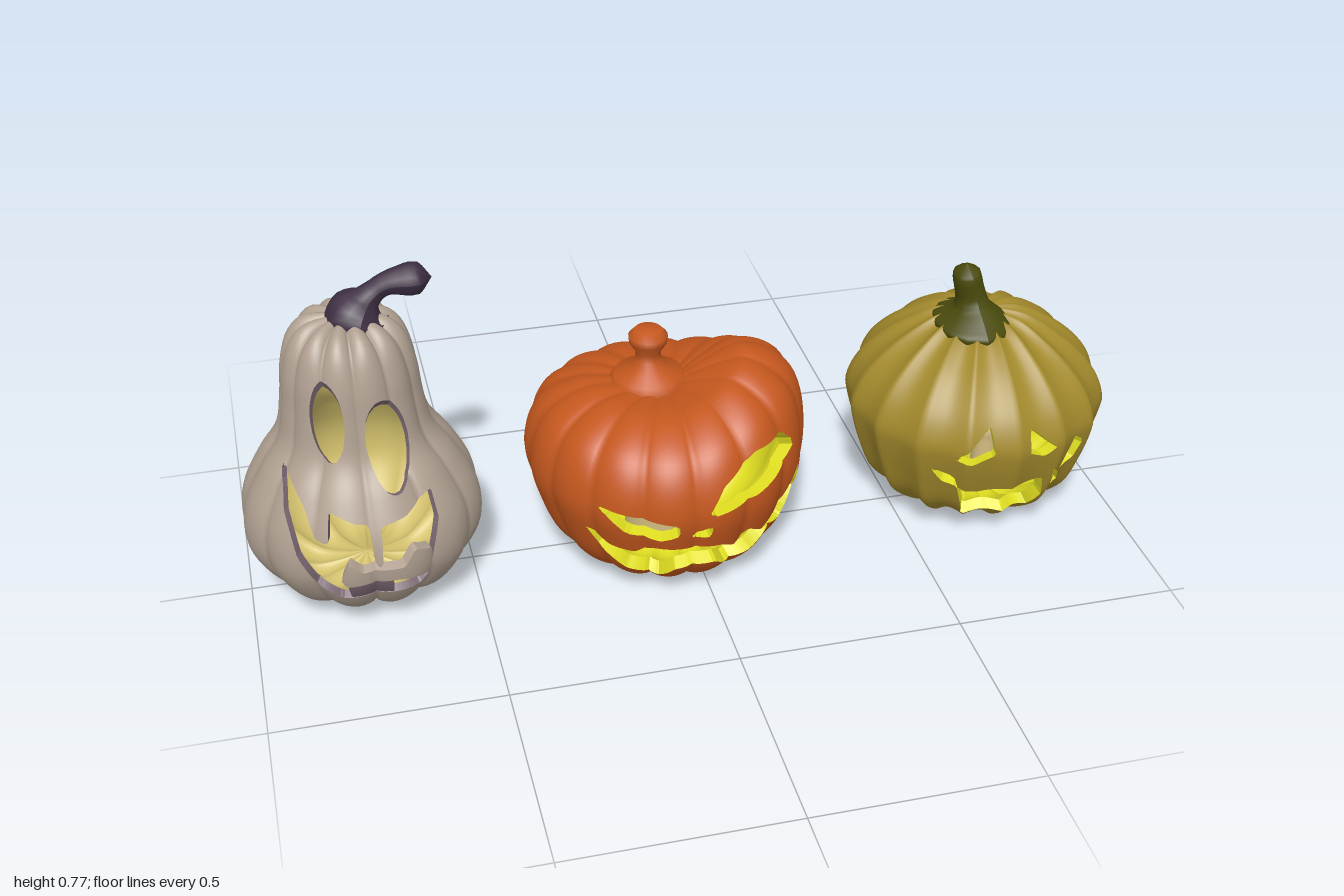
import * as THREE from 'three';
import { mergeVertices } from 'three/addons/utils/BufferGeometryUtils.js';

const mat = (name, color) => new THREE.MeshStandardMaterial({ name, color });
const FRONT = 96, BACK = 48, ROWS = 64, COLS = FRONT + BACK;
const V2 = (a, s = 1) => Array.from({ length: a.length / 2 }, (_, i) => new THREE.Vector2(a[2 * i] * s, a[2 * i + 1] * s));

// cut-out outlines, in hundredths
const outline = (...a) => V2(a, 0.01);
const oval = (x, y, rx, ry, tilt = 0) => new THREE.EllipseCurve(x, y, rx, ry, 0, Math.PI * 2, false, tilt).getPoints(18).slice(0, -1);

// signed distance to an outline, positive outside
function distance(poly, x, y) {
  let best = Infinity, inside = false;
  poly.forEach((a, i) => {
    const b = poly[(i + 1) % poly.length], ex = b.x - a.x, ey = b.y - a.y;
    const t = THREE.MathUtils.clamp(((x - a.x) * ex + (y - a.y) * ey) / (ex * ex + ey * ey), 0, 1);
    best = Math.min(best, Math.hypot(x - a.x - ex * t, y - a.y - ey * t));
    if ((a.y > y) !== (b.y > y) && x < a.x + ((y - a.y) / ey) * ex) inside = !inside;
  });
  return inside ? -best : best;
}

// ribbed gourd surface as a grid of points, finer on the carved front
function surface({ profile, lobes, depth, mid, ridged = false, squash = 1, brow = 0, backDrop = 0 }) {
  const rows = new THREE.SplineCurve(V2(profile)).getSpacedPoints(ROWS);
  const grid = [];
  for (const p of rows) {
    for (let i = 0; i <= COLS; i++) {
      const a = i <= FRONT ? (Math.PI * i) / FRONT : Math.PI * (1 + (i - FRONT) / BACK);
      const wave = Math.abs(Math.sin((a * lobes) / 2));
      const groove = depth * (ridged ? wave : 1 - Math.pow(wave, 0.7));
      const r0 = Math.max(0, p.x);
      // raised shoulder on one side, lowered shoulder at the back
      const high = THREE.MathUtils.smoothstep(p.y, 0.22, 0.44) * Math.min(1, r0 / 0.18);
      const w = high * brow * Math.max(0, Math.cos(a - 0.25)) ** 2;
      const r = r0 * (1 - groove) * (1 + w);
      const y = mid + (p.y - mid) * (1 - groove * Math.min(1, r0 / 0.1)) + w - high * backDrop * Math.max(0, -Math.sin(a));
      grid.push(new THREE.Vector3(r * Math.cos(a) * squash, y, r * Math.sin(a)));
    }
  }
  return grid;
}

function toGeometry(points, smooth = true) {
  let g = new THREE.BufferGeometry().setFromPoints(points);
  if (smooth) g = mergeVertices(g, 1e-4);
  g.computeVertexNormals();
  return g;
}

// keep the part of a grid where keep(point) > 0, as outer skin, inner skin and cut walls
function carve(grid, keep, outerScale, innerScale, mid) {
  const scaled = s => grid.map(p => new THREE.Vector3(p.x * s, mid + (p.y - mid) * s, p.z * s));
  const O = scaled(outerScale), I = scaled(innerScale), D = grid.map(keep);
  const outer = [], inner = [], wall = [];
  const triangle = ids => {
    const po = [], pi = [];
    let exit, entry;
    ids.forEach((a, k) => {
      const b = ids[(k + 1) % 3];
      if (D[a] > 0) { po.push(O[a]); pi.push(I[a]); }
      if ((D[a] > 0) !== (D[b] > 0)) {
        const t = D[a] / (D[a] - D[b]);
        const cut = [O[a].clone().lerp(O[b], t), I[a].clone().lerp(I[b], t)];
        po.push(cut[0]); pi.push(cut[1]);
        if (D[a] > 0) exit = cut; else entry = cut;
      }
    });
    for (let k = 2; k < po.length; k++) {
      outer.push(po[0], po[k - 1], po[k]);
      inner.push(pi[0], pi[k], pi[k - 1]);
    }
    if (exit) wall.push(exit[0], exit[1], entry[1], exit[0], entry[1], entry[0]);
  };
  for (let j = 0; j < ROWS; j++) {
    for (let i = 0; i < COLS; i++) {
      const a = j * (COLS + 1) + i, d = a + COLS + 1;
      triangle([a, d, d + 1]);
      triangle([a, d + 1, a + 1]);
    }
  }
  return [toGeometry(outer), toGeometry(inner), toGeometry(wall, false)];
}

function addPart(group, name, geometry, material) {
  const m = new THREE.Mesh(geometry, material);
  m.name = name;
  group.add(m);
}

// hollow carved pumpkin; pieces are chunks of shell standing in the openings
function pumpkin(name, x, spec, holes, pieces, skin, lining, rim) {
  const group = new THREE.Group();
  group.name = name;
  group.position.x = x;
  const grid = surface(spec);
  const keep = p => (p.z <= 0 ? 1 : Math.min(...holes.map(h => distance(h, p.x + x, p.y))));
  const shell = carve(grid, keep, 1, spec.hollow, spec.mid);
  addPart(group, 'skin', shell[0], skin);
  addPart(group, 'lining', shell[1], lining);
  addPart(group, 'carvedEdges', shell[2], rim);
  for (const t of pieces) {
    const parts = carve(grid, p => (p.z <= 0 ? -1 : -distance(t.shape, p.x + x, p.y)), t.out, t.in, spec.mid);
    parts.forEach(g => addPart(group, t.name, g, t.material));
  }
  return group;
}

// bent stalk whose radius changes along its path
function stalk(points, radii) {
  const curve = new THREE.CatmullRomCurve3(points.map(p => new THREE.Vector3(...p)));
  const n = 24, sides = 12, g = new THREE.TubeGeometry(curve, n, 1, sides);
  const pos = g.attributes.position, v = new THREE.Vector3();
  for (let i = 0; i <= n; i++) {
    const c = curve.getPointAt(i / n), f = (i / n) * (radii.length - 1), k = Math.min(Math.floor(f), radii.length - 2);
    const r = THREE.MathUtils.lerp(radii[k], radii[k + 1], f - k);
    for (let s = 0; s <= sides; s++) {
      const id = i * (sides + 1) + s;
      v.fromBufferAttribute(pos, id).sub(c).multiplyScalar(r).add(c);
      pos.setXYZ(id, v.x, v.y, v.z);
    }
  }
  g.computeVertexNormals();
  return g;
}

// candle with a melted, overhanging top
function candle(x, z, r, top) {
  const g = new THREE.LatheGeometry(V2([r * 0.8, 0.045, r * 0.8, top - 0.05, r, top - 0.03, r, top - 0.012, r * 0.85, top, 0, top - 0.004]), 16);
  return g.translate(x, 0, z);
}

export function createModel() {
  const grey = mat('greySkin', 0xb0a091), mauve = mat('mauveFlesh', 0x77646f), straw = mat('strawLining', 0xd2c06c);
  const orange = mat('orangeSkin', 0xc4571e), olive = mat('oliveSkin', 0xa38a2c), yellow = mat('yellowFlesh', 0xe0de20);
  const purple = mat('purpleStem', 0x3e2f43), green = mat('greenStem', 0x494a0c), wax = mat('candleWax', 0xd6c083);
  const model = new THREE.Group();
  model.name = 'carvedPumpkins';

  // tall grey gourd
  const tall = pumpkin('tallGourd', -0.737, {
    profile: [0, 0.05, 0.07, 0.025, 0.13, 0.02, 0.2, 0.06, 0.25, 0.13, 0.265, 0.19, 0.255, 0.26, 0.215, 0.34, 0.17, 0.41,
      0.154, 0.49, 0.145, 0.57, 0.125, 0.635, 0.09, 0.672, 0.04, 0.68, 0, 0.675],
    lobes: 12, depth: 0.05, mid: 0.3, hollow: 0.94,
  }, [
    oval(-0.8, 0.5, 0.034, 0.09), oval(-0.68, 0.44, 0.046, 0.1, 0.1),
    outline(-90, 39, -87, 33, -85.5, 26.5, -83, 26, -82, 32.5, -76.5, 30, -74, 29.5, -73.5, 20, -72, 20, -71.5, 29, -66, 30,
      -60, 33, -59, 27, -60.5, 21, -62, 14, -64, 12, -81, 11.5, -86, 15, -89.5, 22, -91, 31),
  ], [
    { name: 'lowerLip', shape: outline(-81, 18, -79, 22, -76.5, 19.5, -67.5, 19.5, -65, 23, -61, 21, -62, 15, -69, 16.5, -80, 16), out: 1.01, in: 0.93, material: grey },
    { name: 'tongue', shape: outline(-80, 17, -70, 17, -70, 11, -79, 11), out: 0.995, in: 0.93, material: mauve },
  ], grey, straw, mauve);
  addPart(tall, 'stem', stalk(
    [[0.025, 0.645, 0], [0.03, 0.68, 0], [0.05, 0.708, 0], [0.09, 0.737, 0], [0.14, 0.743, 0], [0.19, 0.742, 0]],
    [0.06, 0.07, 0.055, 0.03, 0.024, 0.025, 0.03, 0.036, 0.034, 0]), purple);

  // broad orange pumpkin with a raised brow
  const broad = pumpkin('broadPumpkin', -0.05, {
    profile: [0, 0.06, 0.06, 0.035, 0.14, 0.004, 0.21, 0.025, 0.28, 0.09, 0.32, 0.18, 0.338, 0.26, 0.32, 0.34, 0.275, 0.395,
      0.19, 0.43, 0.1, 0.425, 0.04, 0.41, 0, 0.41],
    lobes: 16, depth: 0.035, mid: 0.25, hollow: 0.9, squash: 0.93, brow: 0.07, backDrop: 0.035,
  }, [
    outline(-26, 28, -9, 25, -9, 22, -13, 20.5, -20, 22),
    outline(-3, 26, 1, 33, 9, 38, 16, 38.5, 20, 34.5, 16, 31, 9, 28),
    outline(-9, 20, -1.5, 24, -2, 20.5),
    outline(-28, 21, -23, 17, -18, 16, -14, 18, 1, 17, 4, 15, 7.5, 18.5, 11, 16, 17, 21, 21.5, 27, 21.5, 19, 18, 12, 13, 13.5,
      9, 9, 3, 8, 0, 11, -9, 10, -12, 6, -19, 9, -24, 14),
  ], [], orange, yellow, yellow);
  addPart(broad, 'candle', candle(-0.015, 0, 0.096, 0.18), wax);
  const knob = new THREE.LatheGeometry(V2([0.088, 0.39, 0.09, 0.415, 0.078, 0.435, 0.048, 0.447, 0.03, 0.47, 0.028, 0.49,
    0.043, 0.515, 0.044, 0.53, 0.03, 0.545, 0, 0.547]), 20);
  knob.translate(-0.03, 0, -0.01);
  addPart(broad, 'stem', knob, orange);

  // round olive pumpkin with sharp ridges
  const round = pumpkin('roundPumpkin', 0.7, {
    profile: [0, 0.05, 0.06, 0.025, 0.13, 0.015, 0.195, 0.05, 0.245, 0.1, 0.277, 0.18, 0.296, 0.25, 0.298, 0.29, 0.277, 0.345,
      0.238, 0.395, 0.185, 0.44, 0.11, 0.485, 0.05, 0.495, 0, 0.495],
    lobes: 16, depth: 0.045, mid: 0.25, hollow: 0.9, ridged: true,
  }, [
    outline(56, 26, 64, 34, 65, 27.5, 60, 25), outline(73, 33, 80, 27, 77, 25, 73, 27),
    outline(52, 22, 57, 20.5, 58, 17.5, 55, 18),
    outline(58, 17, 62.5, 16, 72, 17.5, 78, 18, 79, 12, 77, 7, 71, 8, 67, 8, 61, 7),
    outline(86, 27, 89, 24, 87, 19, 83, 18, 84, 22), outline(80, 21, 83, 17, 84, 13, 81, 14),
  ], [], olive, yellow, yellow);
  round.position.z = -0.01;
  addPart(round, 'candle', candle(-0.05, 0.02, 0.038, 0.165), wax);
  addPart(round, 'candle', candle(0.042, 0, 0.038, 0.185), wax);
  const greenStalk = stalk(
    [[-0.025, 0.46, 0.015], [-0.025, 0.5, 0.015], [-0.03, 0.54, 0.01], [-0.04, 0.58, 0.01], [-0.045, 0.62, 0.01]],
    [0.085, 0.09, 0.066, 0.042, 0.036, 0.034, 0.033, 0.033, 0.03, 0]).scale(1, 1, 1.2);
  addPart(round, 'stem', greenStalk, green);

  model.add(tall, broad, round);
  return model;
}
